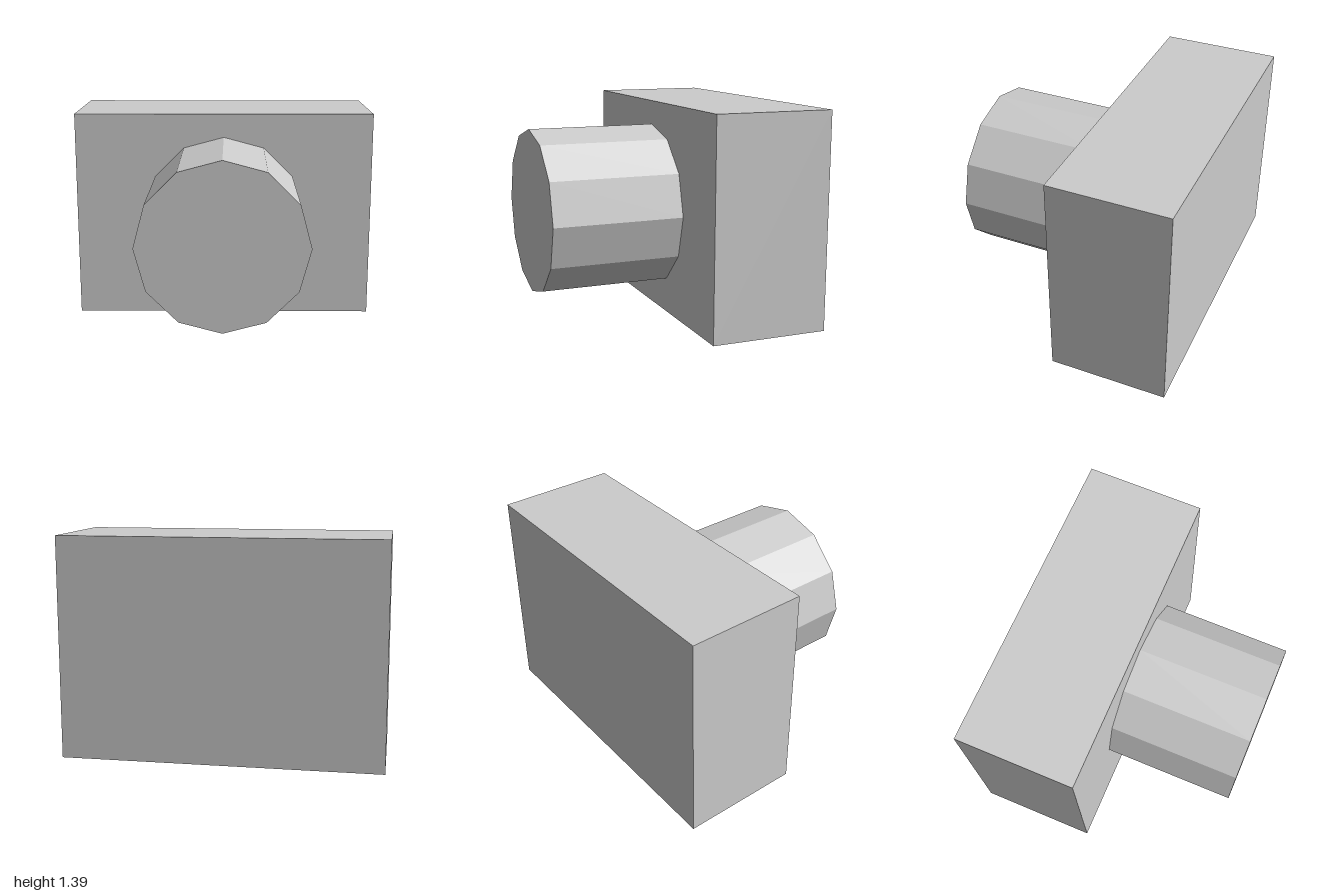
import * as THREE from 'three';

export function createModel() {
  const group = new THREE.Group();
  const grey = new THREE.MeshStandardMaterial({ color: 0xcccccc, flatShading: true });
  grey.name = 'light grey';

  const height = 1.388, back = -0.806, bodyFront = -0.04, lensFront = 0.806;

  // camera body
  const body = new THREE.Mesh(new THREE.BoxGeometry(2, height, bodyFront - back), grey);
  body.name = 'body';
  body.position.set(0, height / 2, (back + bodyFront) / 2);

  // twelve-sided lens barrel, pointing forward
  const lensGeometry = new THREE.CylinderGeometry(0.537, 0.537, lensFront - bodyFront, 12);
  lensGeometry.rotateX(Math.PI / 2);
  const lens = new THREE.Mesh(lensGeometry, grey);
  lens.name = 'lensBarrel';
  lens.position.set(0, height / 2, (bodyFront + lensFront) / 2);

  group.add(body, lens);
  return group;
}
